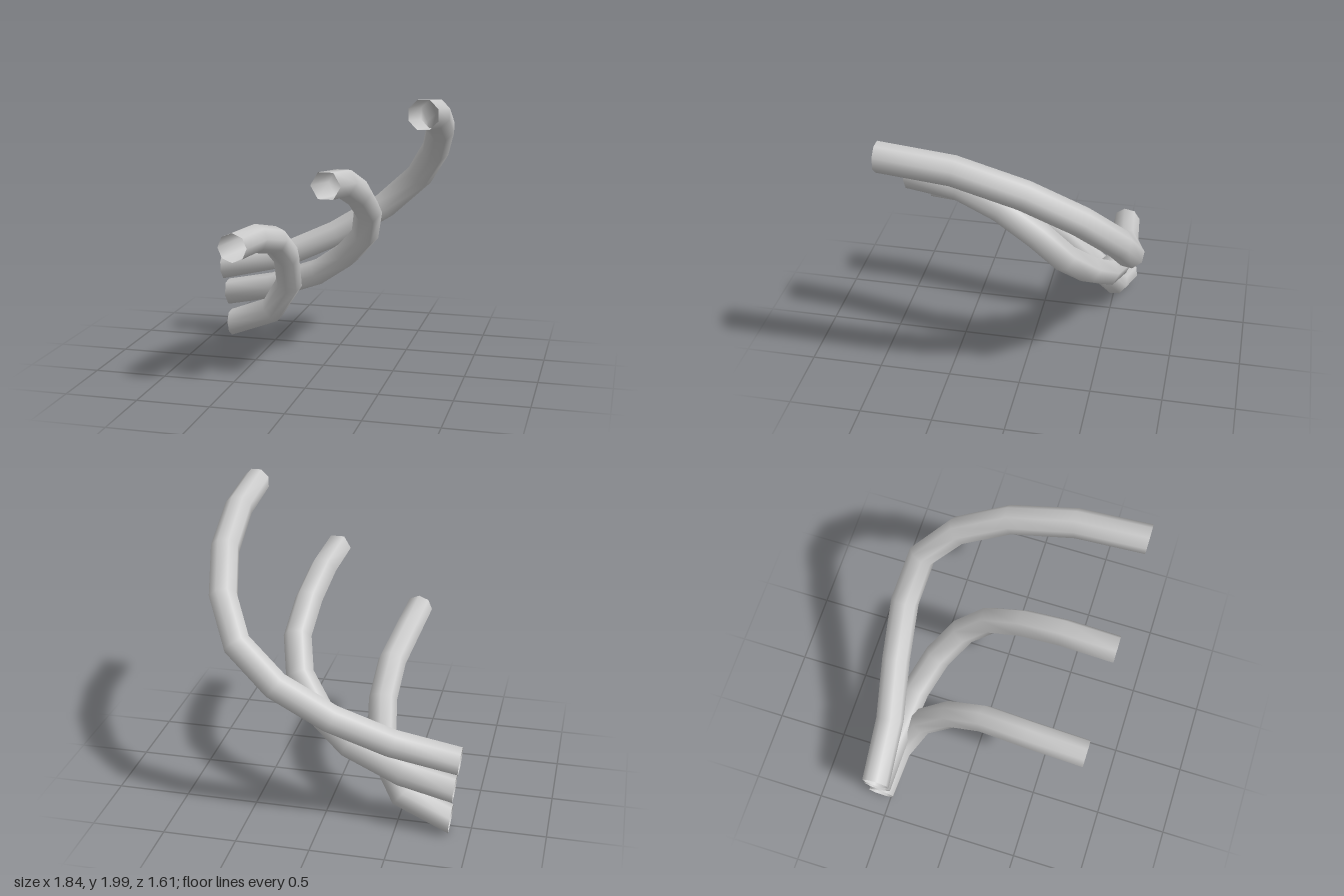
import * as THREE from 'three';

// Sweep an open ring of `sides` corners along a polyline, turning it without twist.
function sweptPipe(path, radius, sides, startAngle) {
  const pts = path.map(p => new THREE.Vector3(...p));
  const last = pts.length - 1;
  const dir = (a, b) => pts[b].clone().sub(pts[a]).normalize();
  const tangents = pts.map((p, i) => {
    if (i === 0) return new THREE.Vector3(0, 0, -1);
    if (i === last) return new THREE.Vector3(-1, -0.1, 0).normalize();
    return dir(i - 1, i).add(dir(i, i + 1)).normalize();
  });

  const u = new THREE.Vector3(1, 0, 0);
  const v = new THREE.Vector3(0, 1, 0);
  const turn = new THREE.Quaternion();
  const positions = [];
  const index = [];
  pts.forEach((p, i) => {
    if (i > 0) {
      turn.setFromUnitVectors(tangents[i - 1], tangents[i]);
      u.applyQuaternion(turn);
      v.applyQuaternion(turn);
    }
    for (let s = 0; s < sides; s++) {
      const a = startAngle + (s / sides) * Math.PI * 2;
      const corner = p.clone()
        .addScaledVector(u, radius * Math.cos(a))
        .addScaledVector(v, radius * Math.sin(a));
      positions.push(corner.x, corner.y, corner.z);
      if (i < last) {
        const n = (s + 1) % sides;
        const a0 = i * sides + s, a1 = i * sides + n;
        const b0 = a0 + sides, b1 = a1 + sides;
        index.push(a0, b0, a1, a1, b0, b1);
      }
    }
  });

  const geometry = new THREE.BufferGeometry();
  geometry.setAttribute('position', new THREE.Float32BufferAttribute(positions, 3));
  geometry.setIndex(index);
  geometry.computeVertexNormals();
  return geometry;
}

// Centre lines, each from the front opening to the opening on the right side
const pipes = [
  {
    name: 'lowerPipe', sides: 8, startAngle: 0, radius: 0.098,
    path: [
      [-0.395, 1.02, 0.81], [-0.375, 0.995, 0.4], [-0.335, 0.915, 0.07], [-0.322, 0.75, -0.18],
      [-0.362, 0.49, -0.4], [-0.535, 0.235, -0.53], [-0.865, 0.105, -0.565],
    ],
  },
  {
    name: 'middlePipe', sides: 6, startAngle: 0, radius: 0.098,
    path: [
      [0.22, 1.45, 0.81], [0.245, 1.41, 0.45], [0.277, 1.29, 0.16], [0.295, 1.12, -0.09],
      [0.235, 0.915, -0.27], [0.07, 0.73, -0.41], [-0.165, 0.56, -0.505], [-0.53, 0.42, -0.555],
      [-0.885, 0.345, -0.57],
    ],
  },
  {
    name: 'upperPipe', sides: 8, startAngle: Math.PI / 8, radius: 0.098,
    path: [
      [0.825, 1.91, 0.81], [0.82, 1.86, 0.335], [0.787, 1.715, -0.1], [0.7, 1.515, -0.44],
      [0.55, 1.285, -0.66], [0.285, 1.04, -0.71], [-0.07, 0.82, -0.67], [-0.46, 0.645, -0.595],
      [-0.913, 0.543, -0.555],
    ],
  },
];

export function createModel() {
  const group = new THREE.Group();
  group.name = 'bentPipes';
  const material = new THREE.MeshStandardMaterial({ color: 0xcccccc, side: THREE.DoubleSide });
  for (const { name, path, radius, sides, startAngle } of pipes) {
    const mesh = new THREE.Mesh(sweptPipe(path, radius, sides, startAngle), material);
    mesh.name = name;
    group.add(mesh);
  }
  return group;
}
